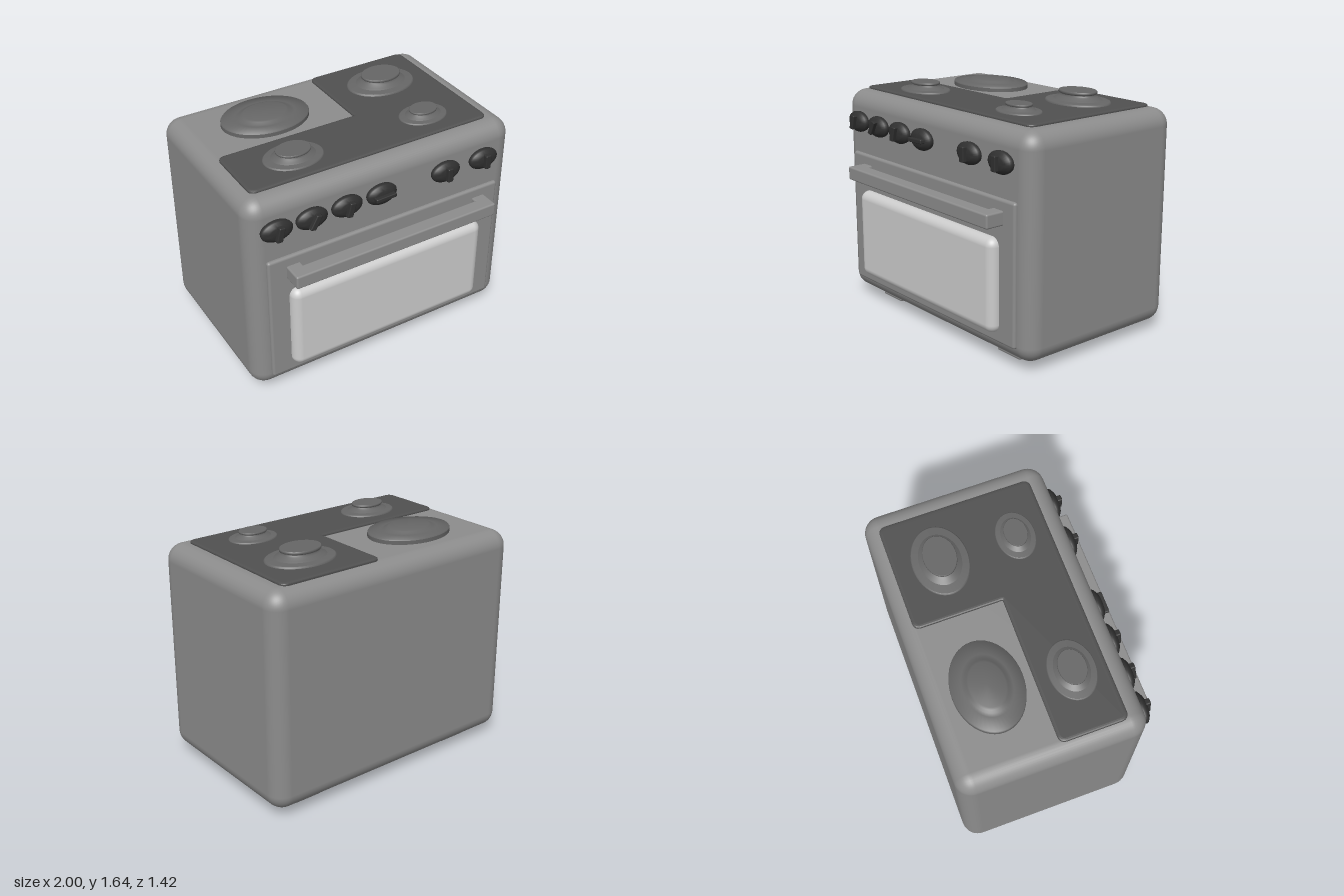
import * as THREE from 'three';
import { RoundedBoxGeometry } from 'three/addons/geometries/RoundedBoxGeometry.js';
import { toCreasedNormals } from 'three/addons/utils/BufferGeometryUtils.js';

const mat = (color) => new THREE.MeshStandardMaterial({ color });
const bodyMat = mat(0x8c8c8c), glassMat = mat(0xcccccc), plateMat = mat(0x505050);
const burnerMat = mat(0x666666), knobMat = mat(0x303030);

function add(parent, name, geometry, material) {
  const mesh = new THREE.Mesh(geometry, material);
  mesh.name = name;
  parent.add(mesh);
  return mesh;
}

// Rounded box given by its minimum and maximum corners
function box(parent, name, min, max, radius, material) {
  const size = max.map((v, i) => v - min[i]);
  const mesh = add(parent, name, new RoundedBoxGeometry(...size, 5, radius), material);
  mesh.position.set(...max.map((v, i) => (v + min[i]) / 2));
  return mesh;
}

function lathe(profile, segments) {
  const points = profile.map(([r, y]) => new THREE.Vector2(r, y));
  return toCreasedNormals(new THREE.LatheGeometry(points, segments), 0.6);
}

// Closed outline with rounded corners
function roundedOutline(corners, radius) {
  const pts = corners.map(([x, y]) => new THREE.Vector2(x, y));
  const shape = new THREE.Shape();
  pts.forEach((p, i) => {
    const prev = pts[(i + pts.length - 1) % pts.length], next = pts[(i + 1) % pts.length];
    const a = p.clone().add(prev.clone().sub(p).setLength(radius));
    const b = p.clone().add(next.clone().sub(p).setLength(radius));
    if (i === 0) shape.moveTo(a.x, a.y);
    else shape.lineTo(a.x, a.y);
    shape.quadraticCurveTo(p.x, p.y, b.x, b.y);
  });
  shape.closePath();
  return shape;
}

export function createModel() {
  const stove = new THREE.Group();
  stove.name = 'stove';

  // Cabinet and feet
  box(stove, 'cabinet', [-1, 0.055, -0.71], [1, 1.55, 0.555], 0.115, bodyMat);
  for (const x of [-0.66, 0.66]) {
    for (const z of [-0.495, 0.345]) {
      box(stove, 'foot', [x - 0.115, 0, z - 0.087], [x + 0.115, 0.1, z + 0.087], 0.02, bodyMat);
    }
  }

  // Oven door, window and handle
  const door = new THREE.Group();
  door.name = 'ovenDoor';
  stove.add(door);
  box(door, 'doorPanel', [-0.885, 0.155, 0.5], [0.885, 1.11, 0.578], 0.018, bodyMat);
  box(door, 'window', [-0.743, 0.218, 0.5], [0.74, 0.855, 0.642], 0.06, glassMat);
  box(door, 'handleBar', [-0.755, 0.945, 0.61], [0.78, 1.04, 0.71], 0.012, bodyMat);
  box(door, 'handlePost', [-0.755, 0.945, 0.56], [-0.655, 1.04, 0.66], 0.012, bodyMat);
  box(door, 'handlePost', [0.68, 0.945, 0.56], [0.78, 1.04, 0.66], 0.012, bodyMat);

  // Oval knobs, each with a turned grip: [x, angle in degrees]
  const knobGeometry = lathe([[0, -0.02], [0.066, -0.02], [0.073, 0.01], [0.074, 0.022],
    [0.07, 0.032], [0.05, 0.05], [0.042, 0.054], [0, 0.056]], 32).rotateX(Math.PI / 2);
  const gripGeometry = new RoundedBoxGeometry(0.028, 0.1, 0.06, 2, 0.006);
  const knobs = [[-0.81, -9], [-0.565, -20], [-0.312, -10], [-0.055, -87], [0.442, 0], [0.748, 0]];
  for (const [x, degrees] of knobs) {
    const knob = new THREE.Group();
    knob.name = 'knob';
    knob.position.set(x, 1.338, 0.555);
    knob.scale.x = 1.5;
    stove.add(knob);
    add(knob, 'knobBase', knobGeometry, knobMat);
    const grip = add(knob, 'knobGrip', gripGeometry, knobMat);
    grip.position.z = 0.052;
    grip.rotation.z = THREE.MathUtils.degToRad(degrees);
  }

  // L-shaped cooktop plate, drawn as (x, -z) and laid flat
  const outline = roundedOutline([[-0.885, -0.415], [0.845, -0.415], [0.845, 0.6],
    [0.125, 0.6], [0.125, 0.005], [-0.885, 0.005]], 0.03);
  const plate = new THREE.ExtrudeGeometry(outline, {
    depth: 0.02, bevelEnabled: true, bevelSize: 0.02, bevelThickness: 0.01, bevelSegments: 3, curveSegments: 6,
  });
  plate.rotateX(-Math.PI / 2);
  add(stove, 'cooktopPlate', plate, plateMat).position.y = 1.537;

  // Burners: flared base, neck and overhanging cap
  const burnerGeometry = lathe([[1, -0.15], [1, 0.1], [0.97, 0.16], [0.74, 0.24], [0.68, 0.34],
    [0.56, 0.52], [0.52, 0.62], [0.52, 0.7], [0.57, 0.76], [0.585, 0.82], [0.585, 0.95], [0.57, 1], [0, 1]], 48);
  const burners = [[-0.49, 0.215, 0.205, 0.062], [0.5, 0.21, 0.173, 0.054], [0.5, -0.31, 0.249, 0.078]];
  for (const [x, z, radius, height] of burners) {
    const burner = add(stove, 'burner', burnerGeometry, burnerMat);
    burner.position.set(x, 1.567, z);
    burner.scale.set(radius, height, radius * 0.75);
  }

  // Low hot plate with a raised centre
  const hotPlate = add(stove, 'hotPlate', lathe([[1, -0.01], [1, 0.026], [0.98, 0.034], [0.68, 0.037],
    [0.6, 0.041], [0.54, 0.052], [0.49, 0.057], [0, 0.057]], 48), burnerMat);
  hotPlate.position.set(-0.41, 1.55, -0.315);
  hotPlate.scale.set(0.31, 1, 0.232);

  return stove;
}
